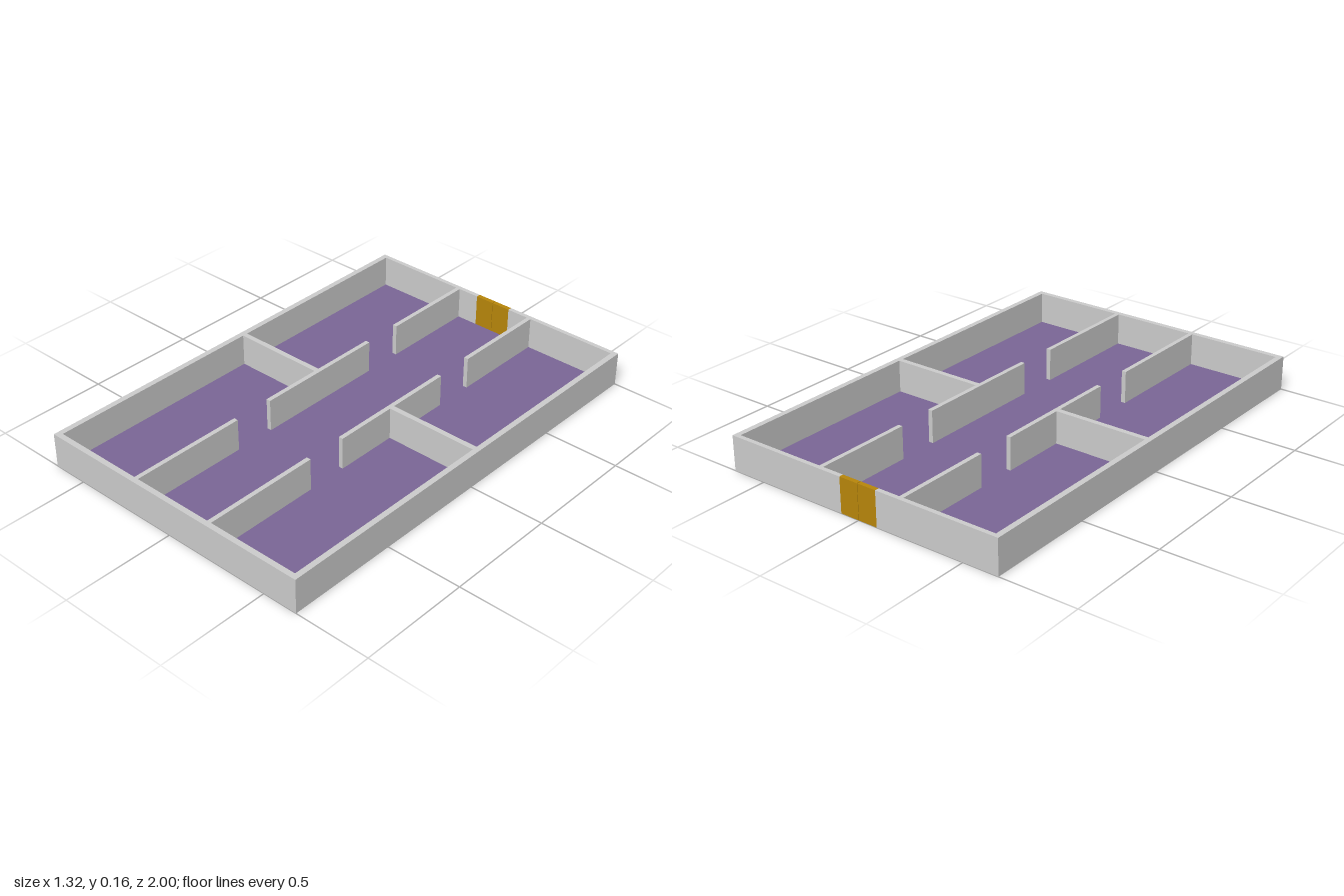
import * as THREE from 'three';

export function createModel() {
  const model = new THREE.Group();
  const material = (name, color) => {
    const m = new THREE.MeshStandardMaterial({ color });
    m.name = name;
    return m;
  };
  const wallGrey = material('wall grey', 0xcccccc);
  const floorPurple = material('floor purple', 0x7a6696);
  const doorGold = material('door gold', 0xb8860b);
  const H = 0.155;

  // Box between two corners on the plan, from y0 up to y1
  function slab(name, mat, x0, x1, z0, z1, y0 = 0, y1 = H) {
    const mesh = new THREE.Mesh(new THREE.BoxGeometry(x1 - x0, y1 - y0, z1 - z0), mat);
    mesh.position.set((x0 + x1) / 2, (y0 + y1) / 2, (z0 + z1) / 2);
    mesh.name = name;
    model.add(mesh);
  }

  // Floor, a hair above the wall bases so these show from below
  slab('floor', floorPurple, -0.636, 0.636, -0.981, 0.976, 0.002, 0.01);

  // Outer walls, lapped at the corners
  slab('frontWall', wallGrey, -0.66, 0.635, 0.975, 1);
  slab('leftWall', wallGrey, 0.635, 0.66, -0.98, 1);
  slab('rightWall', wallGrey, -0.66, -0.635, -1, 0.975);

  // Back wall on both sides of the doorway
  slab('backWallRight', wallGrey, -0.635, -0.09, -1, -0.98);
  slab('backWallLeft', wallGrey, 0.088, 0.66, -1, -0.98);

  // Double door
  slab('doorLeafRight', doorGold, -0.09, -0.002, -1, -0.98);
  slab('doorLeafLeft', doorGold, 0, 0.088, -1, -0.98);

  // Corridor walls with door gaps, and the cross walls between rooms
  for (const side of [-1, 1]) {
    for (const [z0, z1] of [[-0.98, -0.535], [-0.355, 0.258], [0.443, 0.975]]) {
      slab('corridorWall', wallGrey, side * 0.2 - 0.01, side * 0.2 + 0.01, z0, z1);
    }
    slab('crossWall', wallGrey, side > 0 ? 0.21 : -0.635, side > 0 ? 0.635 : -0.21, -0.053, -0.029);
  }
  return model;
}
